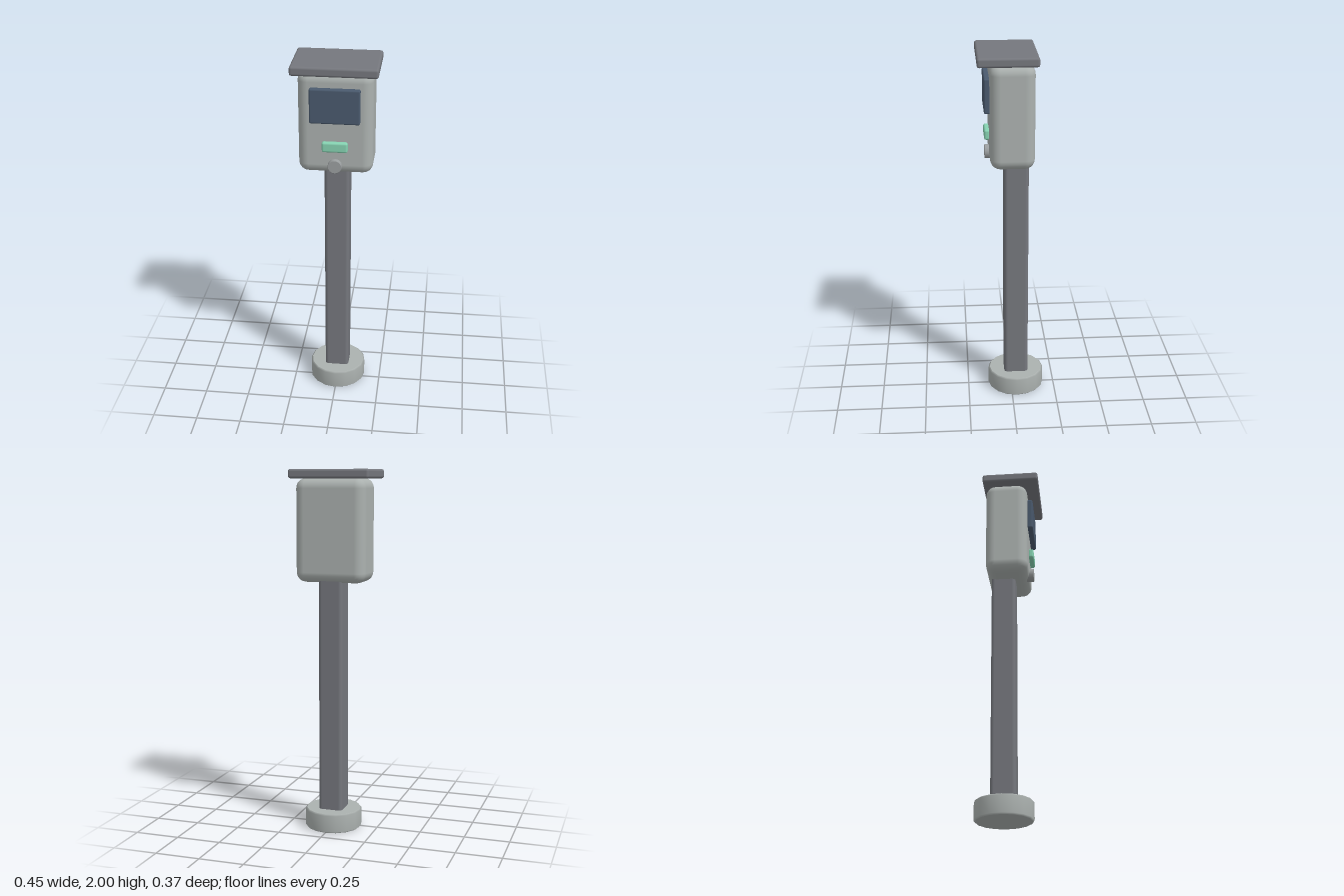
import * as THREE from 'three';
import { RoundedBoxGeometry } from 'three/addons/geometries/RoundedBoxGeometry.js';

const material = (name, color) => {
  const m = new THREE.MeshStandardMaterial({ color });
  m.name = name;
  return m;
};

export function createModel() {
  const model = new THREE.Group();
  model.name = 'payStation';

  const paleGrey = material('pale grey', 0xabb1af);
  const darkGrey = material('dark grey', 0x75777d);
  const screenBlue = material('screen blue', 0x4a5a6e);
  const mint = material('mint green', 0x86d3b2);
  const steel = material('steel grey', 0x9b9fa0);

  const add = (name, geometry, mat, x, y, z) => {
    const mesh = new THREE.Mesh(geometry, mat);
    mesh.name = name;
    mesh.position.set(x, y, z);
    model.add(mesh);
    return mesh;
  };

  // Box with softened edges, given by half width and y / z ranges
  const softBox = (name, mat, halfX, [y0, y1], [z0, z1], radius, segments = 2) =>
    add(name, new RoundedBoxGeometry(halfX * 2, y1 - y0, z1 - z0, segments, radius),
      mat, 0, (y0 + y1) / 2, (z0 + z1) / 2);

  // Short round post with bevelled rims, standing on its own y = 0
  const puck = (radius, height, bevel, sides) => new THREE.LatheGeometry([
    [0, 0], [radius - bevel, 0], [radius - bevel, 0], [radius, bevel],
    [radius, height - bevel], [radius - bevel, height], [radius - bevel, height], [0, height],
  ].map(([x, y]) => new THREE.Vector2(x, y)), sides);

  // Foot and post, set slightly back from the centre
  add('base', puck(0.159, 0.108, 0.008, 16), paleGrey, 0, 0, -0.027);
  softBox('post', darkGrey, 0.068, [0.08, 1.42], [-0.095, 0.041], 0.02);

  // Head and its overhanging cover
  softBox('housing', paleGrey, 0.198, [1.39, 1.953], [-0.119, 0.119], 0.055, 3);
  softBox('roof', darkGrey, 0.226, [1.95, 2], [-0.135, 0.185], 0.013);

  // Front controls
  softBox('screen', screenBlue, 0.132, [1.685, 1.873], [0.115, 0.148], 0.009);
  softBox('button', mint, 0.068, [1.525, 1.581], [0.115, 0.146], 0.011);
  const knob = add('knob', puck(0.038, 0.043, 0.003, 16), steel, 0, 1.443, 0.1);
  knob.rotation.x = Math.PI / 2;

  return model;
}
